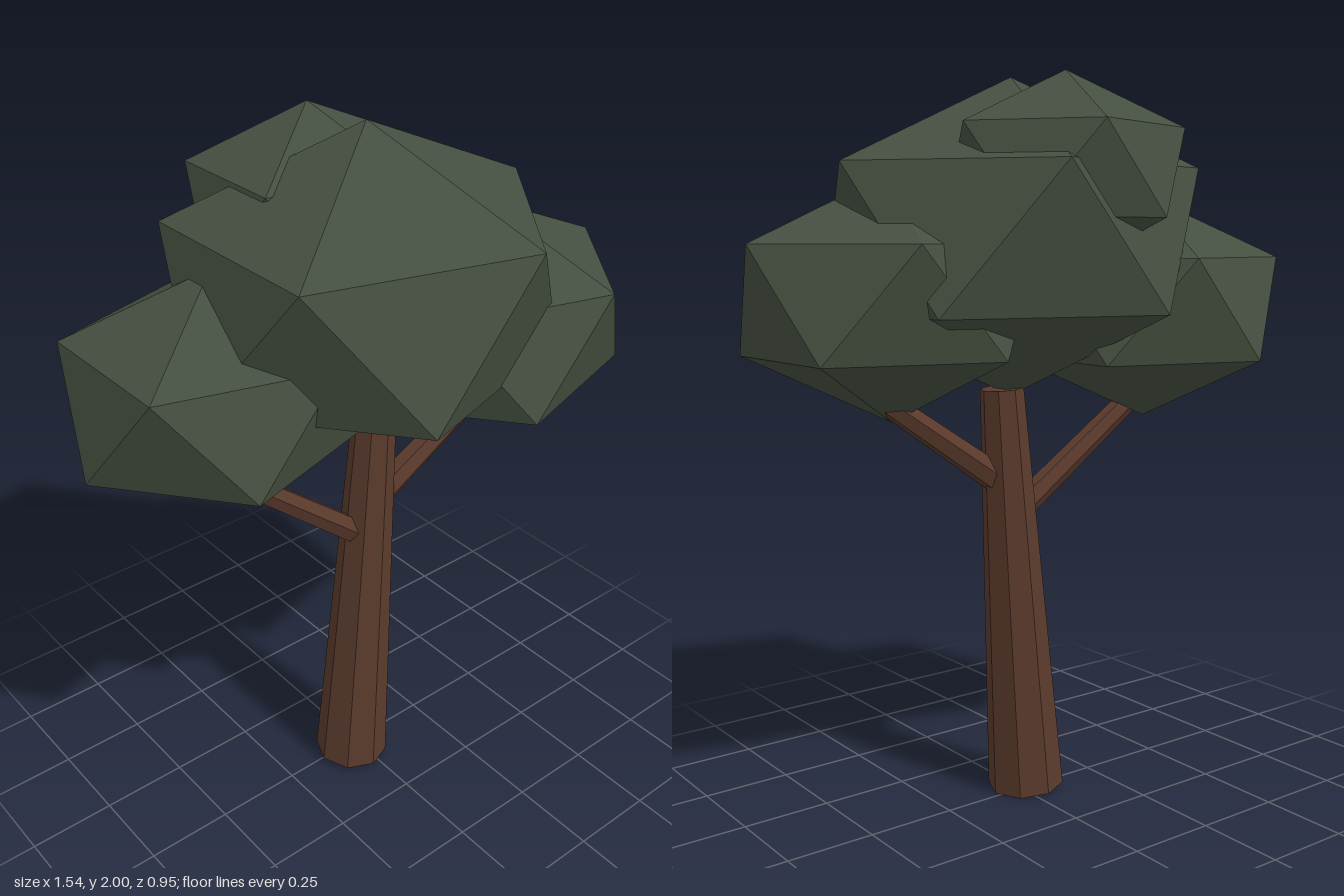
import * as THREE from 'three';

const bark = new THREE.MeshStandardMaterial({ name: 'bark brown', color: 0x5a3a2c, flatShading: true });
const leaf = new THREE.MeshStandardMaterial({ name: 'leaf green', color: 0x454f40, flatShading: true });

// Tapered cylinder running from point a to point b
function limb(name, a, b, r0, r1, sides) {
  const from = new THREE.Vector3(...a);
  const dir = new THREE.Vector3(...b).sub(from);
  const mesh = new THREE.Mesh(new THREE.CylinderGeometry(r1, r0, dir.length(), sides), bark);
  mesh.name = name;
  mesh.position.copy(from).addScaledVector(dir, 0.5);
  mesh.quaternion.setFromUnitVectors(new THREE.Vector3(0, 1, 0), dir.normalize());
  return mesh;
}

// Twenty-sided clump standing on a point, with one upper-ring corner towards +x
function clumpGeometry() {
  const corner = (up, i) => {
    const a = (i + (up ? 0 : 0.5)) * Math.PI * 0.4;
    const y = Math.sqrt(0.2), r = 2 * y;
    return [r * Math.cos(a), up ? y : -y, r * Math.sin(a)];
  };
  const p = [];
  for (let i = 0; i < 5; i++) {
    const u0 = corner(true, i), u1 = corner(true, i + 1);
    const l0 = corner(false, i), l1 = corner(false, i + 1);
    p.push(0, 1, 0, ...u1, ...u0);
    p.push(...u0, ...u1, ...l0);
    p.push(...u1, ...l1, ...l0);
    p.push(0, -1, 0, ...l0, ...l1);
  }
  const g = new THREE.BufferGeometry();
  g.setAttribute('position', new THREE.Float32BufferAttribute(p, 3));
  g.computeVertexNormals();
  return g;
}

export function createModel() {
  const tree = new THREE.Group();
  tree.name = 'tree';

  // Leaning trunk and two branches
  tree.add(limb('trunk', [-0.029, 0.008, 0.017], [0.055, 1.17, 0.015], 0.109, 0.061, 8));
  tree.add(limb('leftBranch', [0.05, 0.905, 0.018], [0.42, 1.165, 0.06], 0.042, 0.032, 6));
  tree.add(limb('rightBranch', [-0.025, 0.838, 0.015], [-0.46, 1.19, -0.05], 0.038, 0.03, 6));

  // Overlapping foliage clumps: name, centre, radii
  const geometry = clumpGeometry();
  const clumps = [
    ['mainFoliage', [0.025, 1.574, 0.013], [0.587, 0.426, 0.481 / 0.894]],
    ['leftFoliage', [0.365, 1.417, 0.088], [0.453, 0.325, 0.414]],
    ['rightFoliage', [-0.38, 1.385, -0.08], [0.438, 0.313, 0.4]],
    ['topFoliage', [0.008, 1.742, -0.198], [0.356, 0.258, 0.327]],
  ];
  for (const [name, centre, radii] of clumps) {
    const mesh = new THREE.Mesh(geometry, leaf);
    mesh.name = name;
    mesh.position.set(...centre);
    mesh.scale.set(...radii);
    tree.add(mesh);
  }
  return tree;
}
